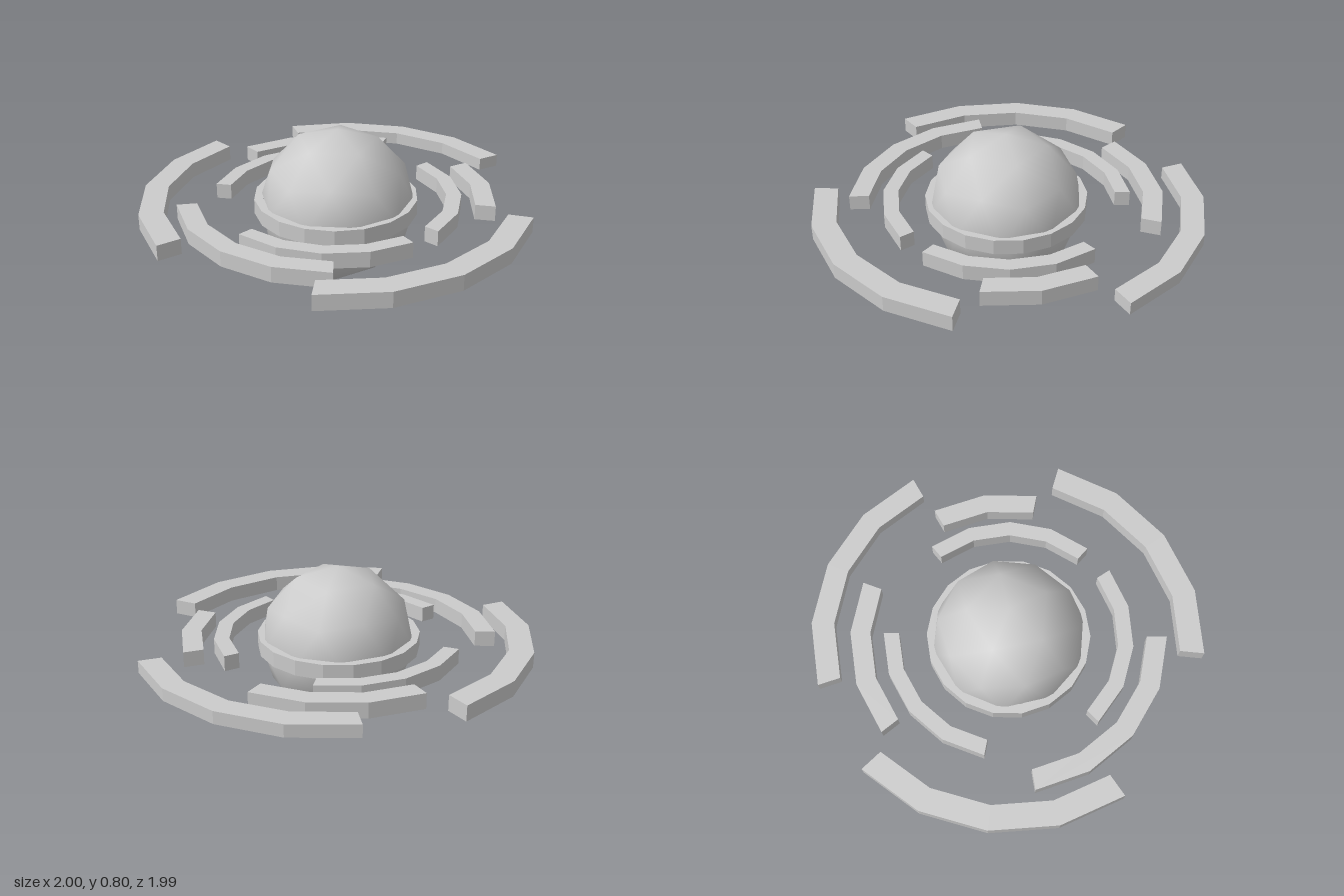
import * as THREE from 'three';

const STEP = 20; // degrees per straight segment
const material = new THREE.MeshStandardMaterial({ color: 0xcccccc });

// Points along a circle, angles counter-clockwise seen from above (90 = back)
function arcPoints(radius, start, segments) {
  return Array.from({ length: segments + 1 }, (_, i) => {
    const a = THREE.MathUtils.degToRad(start + i * STEP);
    return new THREE.Vector2(radius * Math.cos(a), radius * Math.sin(a));
  });
}

// Lay a shape flat and give it a thickness from y0 to y1
function slab(name, shape, y0, y1, x, z) {
  const geometry = new THREE.ExtrudeGeometry(shape, { depth: y1 - y0, bevelEnabled: false });
  geometry.rotateX(-Math.PI / 2);
  const mesh = new THREE.Mesh(geometry, material);
  mesh.name = name;
  mesh.position.set(x, y0, z);
  return mesh;
}

function arcSegment(name, { inner, outer, start, segments, x = -0.035, z = -0.004, y0 = 0.37, y1 = 0.45 }) {
  const outline = [...arcPoints(outer, start, segments), ...arcPoints(inner, start, segments).reverse()];
  return slab(name, new THREE.Shape(outline), y0, y1, x, z);
}

export function createModel() {
  const model = new THREE.Group();
  model.name = 'ringedSphere';

  // Core: smooth-shaded icosphere standing on one vertex
  const core = new THREE.Mesh(new THREE.IcosahedronGeometry(0.4, 1), material);
  core.geometry.rotateZ(Math.atan(2 / (1 + Math.sqrt(5))));
  core.position.set(-0.035, 0.405, 0);
  core.name = 'core';
  model.add(core);

  // Closed collar hugging the core
  const collarShape = new THREE.Shape(arcPoints(0.418, 0, 17));
  collarShape.holes.push(new THREE.Path(arcPoints(0.37, 0, 17)));
  model.add(slab('collar', collarShape, 0.37, 0.45, -0.037, -0.006));

  // Broken rings: [start angle, segment count] for each piece
  const rings = [
    { name: 'innerRing', inner: 0.56, outer: 0.638, pieces: [[40, 4], [175, 4], [270, 4]] },
    { name: 'middleRing', inner: 0.706, outer: 0.808, pieces: [[20, 3], [140, 4], [300, 2]] },
    { name: 'outerRing', inner: 0.875, outer: 0.998, pieces: [[85, 4], [215, 4]] },
  ];
  for (const { name, inner, outer, pieces } of rings) {
    const ring = new THREE.Group();
    ring.name = name;
    pieces.forEach(([start, segments], i) =>
      ring.add(arcSegment(`${name}Segment${i + 1}`, { inner, outer, start, segments })));
    model.add(ring);
  }

  // The left outer piece is slightly smaller and thinner, set off centre
  model.getObjectByName('outerRing').add(arcSegment('outerRingSegment3', {
    inner: 0.852, outer: 0.968, start: -20, segments: 4, x: 0.03, z: 0.006, y0: 0.38, y1: 0.445,
  }));

  return model;
}
